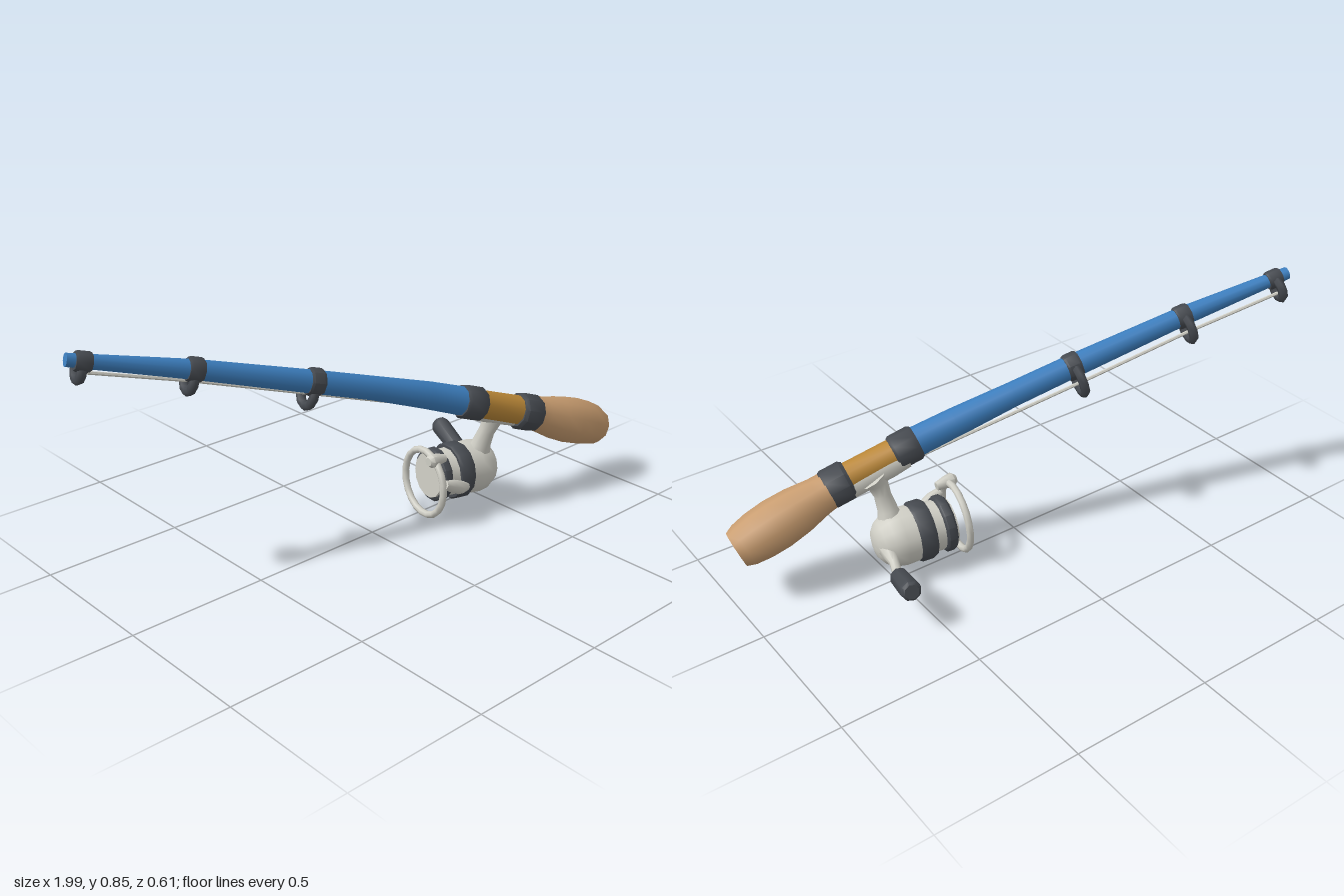
import * as THREE from 'three';
import { toCreasedNormals } from 'three/addons/utils/BufferGeometryUtils.js';

const V = (x, y, z) => new THREE.Vector3(x, y, z);
const mat = (name, color) => {
  const m = new THREE.MeshStandardMaterial({ color });
  m.name = name;
  return m;
};

// Direction in which guides and reel hang from the rod
const HANG = V(-0.08, -0.8, -0.6).normalize();

// Capped round loft through stations [x, y, z, radius]
function loft(stations, sides = 10) {
  const pts = stations.map(s => V(s[0], s[1], s[2]));
  const n = pts.length, pos = [], idx = [];
  pts.forEach((p, i) => {
    const t = pts[Math.min(i + 1, n - 1)].clone().sub(pts[Math.max(i - 1, 0)]).normalize();
    const ref = Math.abs(t.dot(HANG)) > 0.85 ? V(1, 0, 0) : HANG;
    const u = ref.clone().addScaledVector(t, -ref.dot(t)).normalize();
    const v = t.clone().cross(u);
    for (let j = 0; j < sides; j++) {
      const a = (j / sides) * Math.PI * 2, r = stations[i][3];
      const q = p.clone().addScaledVector(u, r * Math.cos(a)).addScaledVector(v, r * Math.sin(a));
      pos.push(q.x, q.y, q.z);
    }
  });
  pos.push(...pts[0].toArray(), ...pts[n - 1].toArray());
  const c0 = n * sides, c1 = c0 + 1, last = (n - 1) * sides;
  for (let j = 0; j < sides; j++) {
    const k = (j + 1) % sides;
    for (let i = 0; i < n - 1; i++) {
      const a = i * sides + j, b = i * sides + k;
      idx.push(a, b, b + sides, a, b + sides, a + sides);
    }
    idx.push(c0, k, j, c1, last + j, last + k);
  }
  const g = new THREE.BufferGeometry();
  g.setAttribute('position', new THREE.Float32BufferAttribute(pos, 3));
  g.setIndex(idx);
  return toCreasedNormals(g, 0.85);
}

// Turned part along a straight axis, profile of [distance, radius]
function turned(origin, dir, profile, sides) {
  const d = dir.clone().normalize();
  return loft(profile.map(([t, r]) => [...origin.clone().addScaledVector(d, t).toArray(), r]), sides);
}

export function createModel() {
  const blue = mat('rod blue', 0x3c7ebe);
  const cork = mat('cork tan', 0xc99d70);
  const dark = mat('dark grey', 0x464a50);
  const pale = mat('pale metal', 0xcfcec5);
  const gold = mat('gold', 0xbb8838);

  const model = new THREE.Group();
  model.name = 'fishingRod';
  const add = (name, geo, material, parent = model) => {
    const m = new THREE.Mesh(geo, material);
    m.name = name;
    parent.add(m);
    return m;
  };

  // Tapered, slightly bent rod
  add('rodBlank', loft([
    [-0.995, 0.834, -0.268, 0.022], [-0.61, 0.735, -0.157, 0.034], [-0.215, 0.62, -0.048, 0.041],
    [0, 0.556, 0.008, 0.043], [0.2, 0.492, 0.062, 0.05], [0.37, 0.432, 0.11, 0.054],
  ]), blue);

  // Grip
  const seatDir = V(1, -0.35, 0.23).normalize();
  add('grip', turned(V(0.62, 0.342, 0.167), V(0.35, -0.14, 0.052), [
    [0, 0.063], [0.06, 0.068], [0.14, 0.082], [0.22, 0.088], [0.29, 0.085], [0.345, 0.076], [0.374, 0.064],
  ]), cork);

  // Reel seat with its two collars and the foot beneath
  const seat = V(0.49, 0.389, 0.138);
  add('reelSeat', turned(seat, seatDir, [[-0.12, 0.052], [0.12, 0.055]]), gold);
  add('reelFoot', turned(seat.clone().addScaledVector(HANG, 0.022), seatDir,
    [[-0.12, 0.044], [-0.06, 0.048], [0.06, 0.048], [0.12, 0.046]]), pale);
  add('frontCollar', turned(V(0.37, 0.431, 0.11), seatDir,
    [[-0.045, 0.056], [-0.035, 0.062], [0.035, 0.062], [0.045, 0.056]]), dark);
  add('rearCollar', turned(V(0.605, 0.346, 0.165), seatDir,
    [[-0.045, 0.06], [-0.033, 0.069], [0.033, 0.069], [0.045, 0.063]]), dark);

  // Line guides: a wrap round the rod and a hanging ring
  const rodDir = V(1, -0.285, 0.278).normalize();
  const guides = [
    [V(-0.945, 0.82, -0.253), 0.033, 0.034, 0.04],
    [V(-0.61, 0.735, -0.157), 0.041, 0.044, 0.045],
    [V(-0.215, 0.62, -0.048), 0.048, 0.052, 0.05],
  ];
  const linePath = [V(0.34, 0.405, 0.072)];
  guides.forEach(([p, wrap, ring, drop], i) => {
    const g = new THREE.Group();
    g.name = 'lineGuide' + (i + 1);
    model.add(g);
    add('guideWrap', turned(p, rodDir, [[-0.026, wrap * 0.93], [-0.018, wrap], [0.018, wrap], [0.026, wrap * 0.93]], 8), dark, g);
    const t = add('guideRing', new THREE.TorusGeometry(ring, 0.0165, 6, 10), dark, g);
    t.position.copy(p).addScaledVector(HANG, drop);
    t.quaternion.setFromUnitVectors(V(0, 0, 1), rodDir);
    linePath.splice(1, 0, p.clone().addScaledVector(HANG, drop + 0.012));
  });
  add('fishingLine', loft(linePath.map(p => [p.x, p.y, p.z, 0.006]), 6), pale);

  // Reel, turned about its own axis pointing to the rear
  const reel = new THREE.Group();
  reel.name = 'reel';
  model.add(reel);
  const axis = V(0.98, -0.04, 0.18).normalize();
  const hub = V(0.46, 0.135, 0.045);
  const ring = (name, profile, material) => add(name, turned(hub, axis, profile, 14), material, reel);
  ring('reelBody', [[-0.065, 0.098], [-0.01, 0.101], [0.03, 0.094], [0.06, 0.075], [0.078, 0.05], [0.085, 0.02]], pale);
  ring('rotorBand', [[-0.115, 0.1], [-0.105, 0.106], [-0.065, 0.106], [-0.055, 0.1]], dark);
  ring('spool', [[-0.165, 0.088], [-0.11, 0.09]], pale);
  ring('spoolLip', [[-0.19, 0.092], [-0.182, 0.1], [-0.158, 0.1], [-0.15, 0.092]], dark);
  ring('spoolFace', [[-0.198, 0.083], [-0.185, 0.085]], pale);

  // Stem flaring into the foot
  add('reelStem', loft([
    [0.5, 0.362, 0.118, 0.058], [0.485, 0.335, 0.11, 0.038], [0.475, 0.29, 0.098, 0.03],
    [0.468, 0.235, 0.08, 0.036], [0.465, 0.17, 0.06, 0.055],
  ]), pale, reel);

  // Bail loop, roller and arm
  const bail = add('bailLoop', new THREE.TorusGeometry(0.121, 0.013, 8, 20), pale, reel);
  bail.position.set(0.228, 0.136, 0.028);
  bail.quaternion.setFromUnitVectors(V(0, 0, 1), axis);
  add('bailRoller', loft([
    [0.19, 0.246, 0.085, 0.016], [0.203, 0.246, 0.086, 0.026], [0.23, 0.245, 0.088, 0.022], [0.265, 0.24, 0.09, 0.015],
  ], 8), pale, reel);
  add('bailArm', loft([
    [0.215, 0.17, 0.145, 0.016], [0.25, 0.155, 0.145, 0.023], [0.3, 0.13, 0.138, 0.025], [0.345, 0.115, 0.125, 0.016],
  ], 8), pale, reel);

  // Crank and knob
  add('crankArm', loft([
    [0.49, 0.135, 0.06, 0.036], [0.515, 0.135, 0.015, 0.036], [0.523, 0.128, -0.01, 0.026],
    [0.53, 0.119, -0.05, 0.017], [0.545, 0.112, -0.09, 0.017], [0.556, 0.115, -0.13, 0.017],
  ], 8), pale, reel);
  add('crankKnob', turned(V(0.555, 0.117, -0.116), V(0.04, 0.05, -0.15),
    [[0, 0.027], [0.012, 0.033], [0.14, 0.036], [0.155, 0.034], [0.165, 0.025]], 8), dark, reel);

  return model;
}
